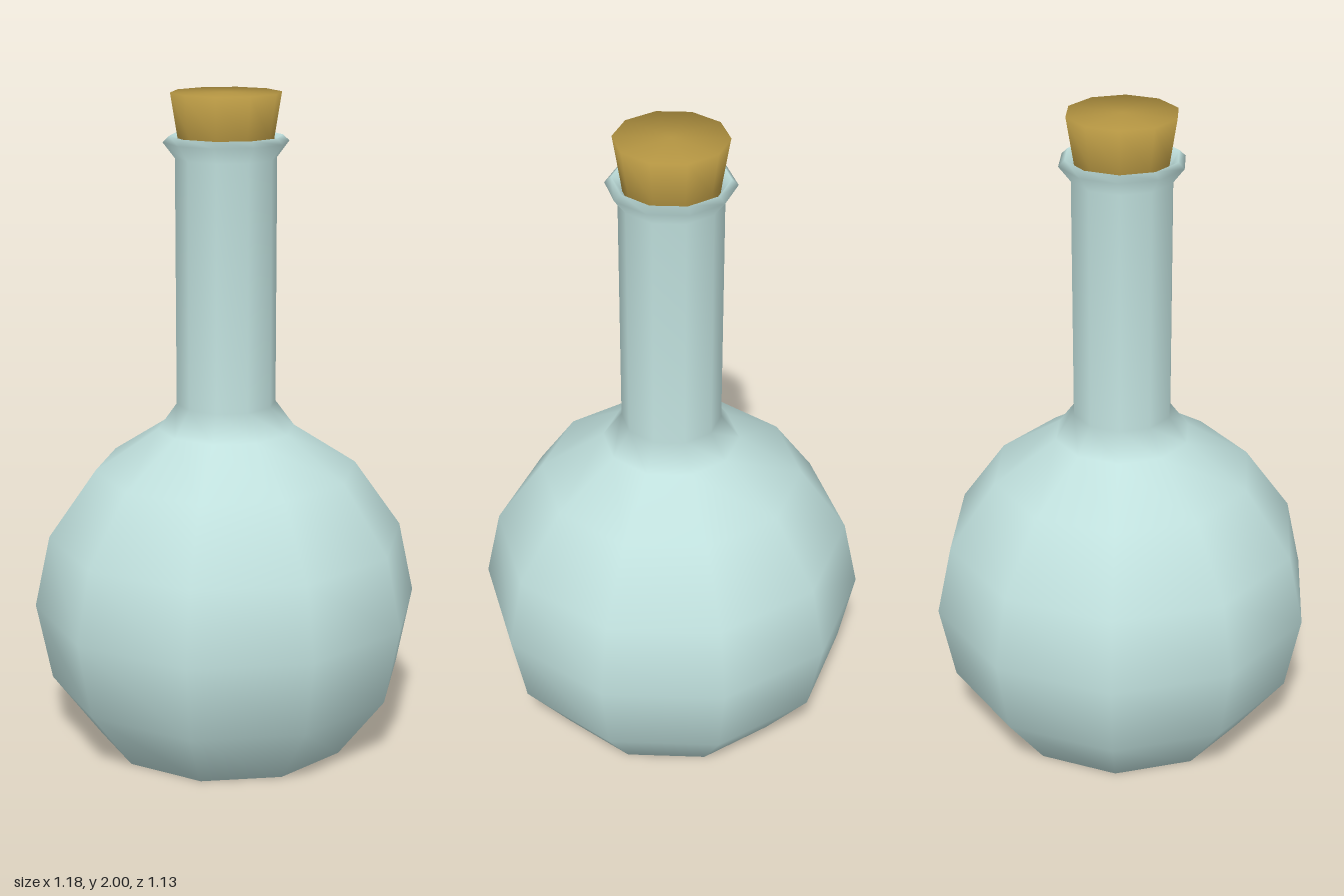
import * as THREE from 'three';

const SIDES = 10;

// Ten-sided turned part with smooth normals and corners on the x axis
function turned(name, profile, material) {
  const points = profile.map(([r, y]) => new THREE.Vector2(r, y));
  const mesh = new THREE.Mesh(new THREE.LatheGeometry(points, SIDES, Math.PI / 2), material);
  mesh.name = name;
  return mesh;
}

export function createModel() {
  const glass = new THREE.MeshStandardMaterial({ color: 0xc0e0dd });
  glass.name = 'paleGlass';
  const corkBrown = new THREE.MeshStandardMaterial({ color: 0xb29341 });
  corkBrown.name = 'corkBrown';

  const group = new THREE.Group();
  group.name = 'corkedFlask';

  // Round body, long neck and flared lip, folding back into the neck
  group.add(turned('flask', [
    [0, 0], [0.395, 0], [0.545, 0.2], [0.592, 0.44], [0.545, 0.66],
    [0.4, 0.867], [0.208, 0.992], [0.151, 1.07], [0.151, 1.81],
    [0.187, 1.857], [0.168, 1.875], [0.13, 1.82], [0.125, 1.72],
  ], glass));

  // Tapered stopper, wider at the top
  group.add(turned('cork', [
    [0, 1.72], [0.122, 1.72], [0.143, 1.87], [0.164, 2], [0, 2],
  ], corkBrown));

  return group;
}
